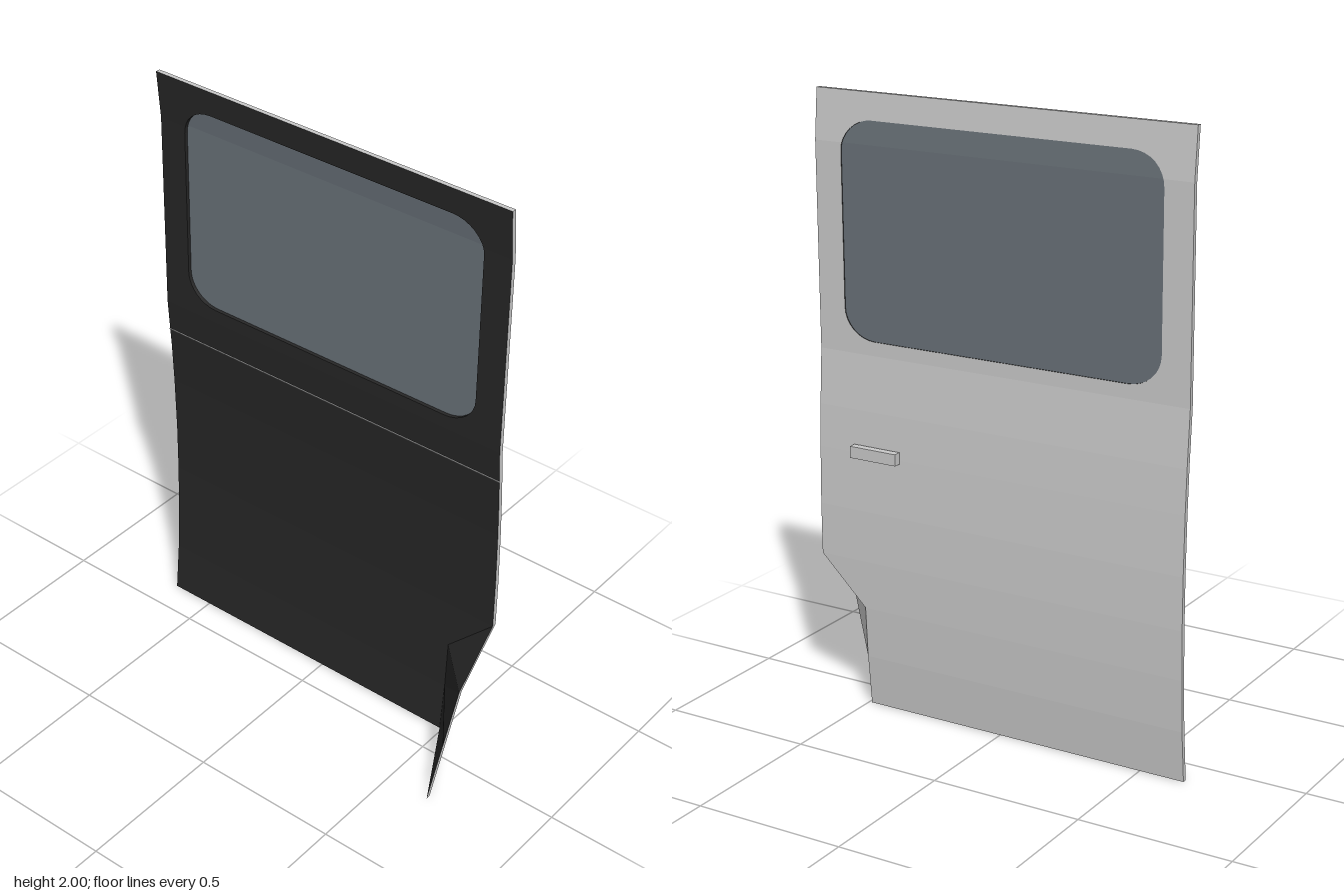
import * as THREE from 'three';

const DEPTH = 0.65;      // half length of the door along z
const THICK = 0.015;     // sheet thickness
const HINGE = 0.49;      // where the flared corner folds away

// Outer skin section: [y, x]
const PROFILE = [[0, 0.12], [0.17, 0.137], [0.34, 0.146], [0.5, 0.151], [0.67, 0.152],
  [0.86, 0.148], [1.0, 0.142], [1.18, 0.13], [1.84, 0.134], [2, 0.12]];
// Front edge of the flared corner: [y, x]
const FLARE = [[0.5, 0.151], [0.34, -0.015], [0.17, -0.09], [0, -0.165]];
const WIN = { y0: 1.225, y1: 1.915, half: 0.555, rz: 0.11, ry: 0.1 };

function skinX(y) {
  for (let i = 1; i < PROFILE.length; i++) {
    const [ya, xa] = PROFILE[i - 1], [yb, xb] = PROFILE[i];
    if (y <= yb) return xa + (xb - xa) * (y - ya) / (yb - ya);
  }
  return PROFILE[PROFILE.length - 1][1];
}

// Front limit of the flat sheet: straight, then cut back around the flare
const frontZ = y => HINGE + (DEPTH - HINGE) * THREE.MathUtils.clamp((y - 0.34) / 0.16, 0, 1);

// Half width of the rounded window at height y
function windowHalf(y) {
  const d = Math.min(y - WIN.y0, WIN.y1 - y);
  const c = THREE.MathUtils.clamp(1 - d / WIN.ry, 0, 1);
  return WIN.half - WIN.rz * (1 - Math.sqrt(1 - c * c));
}

// Collects flat faces for one mesh
class Faces {
  constructor() { this.p = []; }
  tri(a, b, c) { this.p.push(...a, ...b, ...c); }
  quad(a, b, c, d) { this.tri(a, b, c); this.tri(a, c, d); }
  mesh(name, material) {
    const g = new THREE.BufferGeometry();
    g.setAttribute('position', new THREE.Float32BufferAttribute(this.p, 3));
    g.computeVertexNormals();
    const m = new THREE.Mesh(g, material);
    m.name = name;
    return m;
  }
}

function material(name, color) {
  const m = new THREE.MeshStandardMaterial({ color, side: THREE.DoubleSide });
  m.name = name;
  return m;
}

export function createModel() {
  const paint = material('grey paint', 0xc8c8c8);
  const dark = material('dark lining', 0x262626);
  const glass = material('tinted glass', 0x687077);
  const door = new THREE.Group();
  door.name = 'door';

  const outer = new Faces(), inner = new Faces(), rim = new Faces();
  const pane = new Faces(), reveal = new Faces();
  const at = (y, z, inset = 0) => [skinX(y) - inset, y, z];

  // Outer and inner strip between two heights, from z limits a (back) to b (front)
  const strip = (y0, y1, a0, a1, b0, b1) => {
    outer.quad(at(y0, b0), at(y0, a0), at(y1, a1), at(y1, b1));
    inner.quad(at(y0, a0, THICK), at(y0, b0, THICK), at(y1, b1, THICK), at(y1, a1, THICK));
  };

  // Rows at every bend in the section and around the window corners
  const rows = PROFILE.map(p => p[0]);
  for (let i = 0; i <= 8; i++) {
    const d = WIN.ry * (1 - Math.cos(i / 8 * Math.PI / 2));
    rows.push(WIN.y0 + d, WIN.y1 - d);
  }
  rows.sort((a, b) => a - b);

  for (let i = 1; i < rows.length; i++) {
    const y0 = rows[i - 1], y1 = rows[i];
    const f0 = frontZ(y0), f1 = frontZ(y1);
    if (y0 >= WIN.y0 - 1e-6 && y1 <= WIN.y1 + 1e-6) {
      const w0 = windowHalf(y0), w1 = windowHalf(y1);
      strip(y0, y1, -DEPTH, -DEPTH, -w0, -w1);
      strip(y0, y1, w0, w1, f0, f1);
      pane.quad(at(y0, w0, 0.003), at(y0, -w0, 0.003), at(y1, -w1, 0.003), at(y1, w1, 0.003));
      for (const s of [1, -1]) {
        reveal.quad(at(y0, s * w0), at(y1, s * w1), at(y1, s * w1, THICK), at(y0, s * w0, THICK));
      }
    } else {
      strip(y0, y1, -DEPTH, -DEPTH, f0, f1);
    }
    // Sheet edges at the back and, above the flare, at the front
    rim.quad(at(y0, -DEPTH), at(y0, -DEPTH, THICK), at(y1, -DEPTH, THICK), at(y1, -DEPTH));
    if (y0 >= 0.5) rim.quad(at(y0, DEPTH, THICK), at(y0, DEPTH), at(y1, DEPTH), at(y1, DEPTH, THICK));
  }
  // Window sill and head
  for (const y of [WIN.y0, WIN.y1]) {
    const w = windowHalf(y);
    reveal.quad(at(y, -w), at(y, w), at(y, w, THICK), at(y, -w, THICK));
  }
  // Top and bottom edges
  rim.quad(at(2, DEPTH, THICK), at(2, DEPTH), at(2, -DEPTH), at(2, -DEPTH, THICK));
  rim.quad(at(0, HINGE), at(0, HINGE, THICK), at(0, -DEPTH, THICK), at(0, -DEPTH));

  // Flared lower corner, folding inwards from the hinge line to the front edge
  const flareOut = new Faces(), flareIn = new Faces();
  const edge = (i, inset = 0) => [FLARE[i][1] - inset, FLARE[i][0], DEPTH];
  const fold = (i, inset = 0) => at(FLARE[i][0], HINGE, inset);
  const both = (...pick) => {
    flareOut.tri(...pick.map(f => f(0)));
    flareIn.tri(...pick.map(f => f(THICK)).reverse());
  };
  both(t => edge(0, t), t => edge(1, t), t => fold(1, t));
  for (let i = 1; i < 3; i++) {
    both(t => edge(i, t), t => fold(i + 1, t), t => fold(i, t));
    both(t => edge(i, t), t => edge(i + 1, t), t => fold(i + 1, t));
  }
  for (let i = 0; i < 3; i++) {
    rim.quad(edge(i), edge(i, THICK), edge(i + 1, THICK), edge(i + 1));
  }
  rim.quad(edge(3), edge(3, THICK), fold(3, THICK), fold(3));

  door.add(
    outer.mesh('outerSkin', paint), inner.mesh('innerLining', dark),
    rim.mesh('sheetEdges', paint), pane.mesh('windowPane', glass),
    reveal.mesh('windowReveal', dark),
    flareOut.mesh('flareOuter', paint), flareIn.mesh('flareInner', dark));

  // Thin ledge across the inside
  const ledge = new THREE.Mesh(new THREE.BoxGeometry(0.006, 0.003, 2 * DEPTH), paint);
  ledge.position.set(skinX(1.07) - THICK, 1.07, 0);
  ledge.name = 'innerLedge';

  // Pull handle
  const handle = new THREE.Mesh(new THREE.BoxGeometry(0.026, 0.038, 0.17), paint);
  handle.position.set(0.165, 0.87, 0.43);
  handle.name = 'handle';
  door.add(ledge, handle);
  return door;
}
